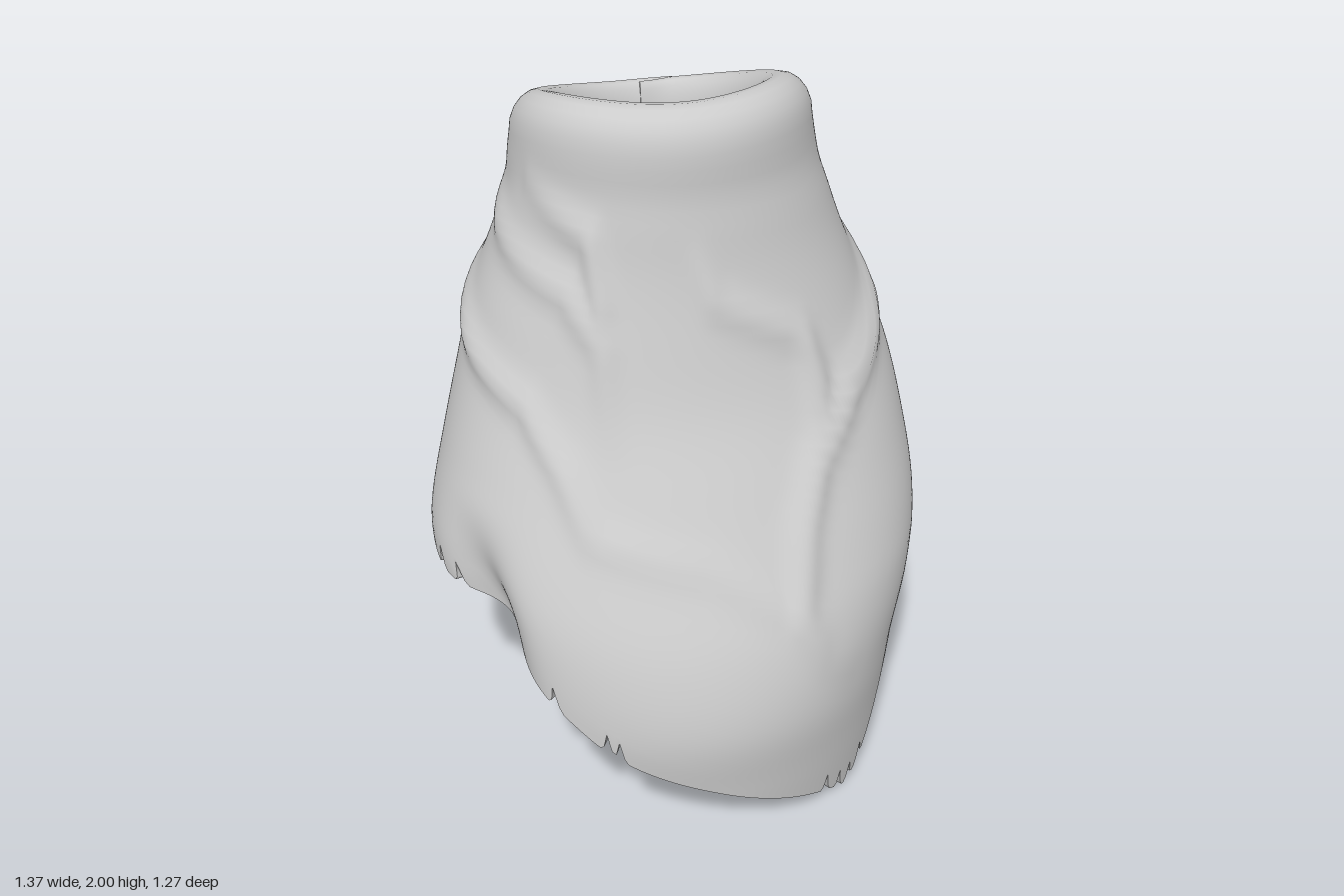
import * as THREE from 'three';

const smooth = (a, b, v) => THREE.MathUtils.smoothstep(v, a, b);
const lerp = THREE.MathUtils.lerp;
const bell = (v, w) => Math.exp(-((v / w) ** 2));

// Smooth interpolation through [key, value] pairs
function curve(pts) {
  const n = pts.length;
  const slope = i => {
    const a = pts[Math.max(0, i - 1)], b = pts[Math.min(n - 1, i + 1)];
    return (b[1] - a[1]) / (b[0] - a[0]);
  };
  return v => {
    if (v <= pts[0][0]) return pts[0][1];
    if (v >= pts[n - 1][0]) return pts[n - 1][1];
    let i = 0;
    while (v > pts[i + 1][0]) i++;
    const h = pts[i + 1][0] - pts[i][0], t = (v - pts[i][0]) / h;
    const t2 = t * t, t3 = t2 * t;
    return (2 * t3 - 3 * t2 + 1) * pts[i][1] + (t3 - 2 * t2 + t) * h * slope(i)
      + (3 * t2 - 2 * t3) * pts[i + 1][1] + (t3 - t2) * h * slope(i + 1);
  };
}

// Extents of the cloth by height
const leftX = curve([[0, .6], [.4, .63], [.6, .67], [.8, .685], [1, .66], [1.2, .615], [1.4, .54], [1.6, .465], [1.8, .41], [1.9, .39], [2, .36]]);
const rightX = curve([[0, .6], [.4, .64], [.7, .685], [.8, .685], [1, .635], [1.2, .58], [1.4, .525], [1.6, .445], [1.8, .405], [1.9, .39], [2, .36]]);
const frontZ = curve([[0, .58], [.2, .61], [.4, .63], [.6, .585], [.8, .49], [1, .39], [1.2, .295], [1.4, .235], [1.6, .19], [1.8, .17], [1.9, .165], [2, .14]]);
const backZ = curve([[0, -.5], [.7, -.55], [1, -.58], [1.2, -.6], [1.4, -.605], [1.6, -.585], [1.7, -.56], [1.8, -.52], [2, -.42]]);
const midZ = curve([[.7, 0], [1, -.08], [1.4, -.16], [1.8, -.2]]);

// Hem height by angle in degrees: 0 is the front, 90 the left side
const hem = curve([[-195, 1.52], [-180, 1.36], [-165, 1.19], [-150, 1.02], [-130, .87], [-105, .76], [-90, .72], [-78, .68],
  [-66, .64], [-40, .45], [-25, .33], [0, .2], [20, .1], [36, .03], [44, 0], [52, .07], [63, .27], [75, .5], [90, .72],
  [105, .86], [125, 1.02], [145, 1.12], [165, 1.25], [180, 1.36]]);
const tears = [-145, -138, -81, -74, -41, -28, -25, 34, 40, 45, 50, 70, 76, 99, 104, 127, 133];

// Raised fold lines as paths of [angle, height, bump]
const folds = [
  [[-66, 1.76, .005], [-35, 1.67, .02], [-28, 1.5, .018], [-25, 1.3, 0]],
  [[-115, 1.7, 0], [-85, 1.62, .018], [-40, 1.52, .02], [-26, 1.4, .018], [-22, 1.1, 0]],
  [[-130, 1.5, 0], [-110, 1.42, .015], [-80, 1.32, .025], [-48, 1.22, .02], [-35, 1.08, .02], [-27, .93, .014], [0, .85, .008], [20, .7, .012]],
  [[0, 1.67, 0], [7, 1.5, .015], [33, 1.37, .02], [34, 1.25, .02], [31, 1.02, .005]],
  [[118, 1.62, 0], [100, 1.48, .014], [80, 1.35, .025], [46, 1.2, .025], [29, 1.05, .025], [23, .9, .024], [20, .7, .022], [27, .57, .008], [40, .47, 0]],
];
const AS = .0095; // degrees to distance along the cloth

function foldBump(deg, y) {
  let best = 0;
  for (const path of folds) {
    for (let i = 0; i + 1 < path.length; i++) {
      const [a, b] = [path[i], path[i + 1]];
      const dx = (b[0] - a[0]) * AS, dy = b[1] - a[1];
      const px = (deg - a[0]) * AS, py = y - a[1];
      const raw = (px * dx + py * dy) / (dx * dx + dy * dy);
      const t = Math.min(1, Math.max(0, raw));
      best = Math.max(best, lerp(a[2], b[2], t) * bell(Math.hypot(px - t * dx, py - t * dy), .042));
    }
  }
  return best;
}

function section(deg, y) {
  const r = deg * Math.PI / 180, s = Math.sin(r), c = Math.cos(r), m = midZ(y);
  return [s * (s > 0 ? leftX(y) : rightX(y)), m + c * (c > 0 ? frontZ(y) - m : m - backZ(y))];
}

// The collar is highest in front and dips toward the back
const collarTop = deg => {
  const z = -.22 + .31 * Math.cos(deg * Math.PI / 180);
  return 2 - .42 * Math.max(0, .07 - z) ** 1.7;
};
const ROLL = .11;

// Point on the outer or inner side of the cloth
function cloth(deg, y, inside) {
  const r = deg * Math.PI / 180, s = Math.sin(r), c = Math.cos(r);
  let [x, z] = section(deg, y);
  const top = collarTop(deg);
  let out = inside ? -.025 : foldBump(deg, y);
  out -= .006 * bell(y - (top - .23), .06);
  out -= .1 * bell(deg + 62, 11) * smooth(.65, 1, 1.6 - y);
  out += .008 * smooth(165, 185, -deg) - .03 * smooth(160, 178, deg);
  x += s * out;
  z += c * out;
  if (inside) {
    const k = smooth(top - .4, top - ROLL, y);
    x = lerp(x, s * .235, k);
    z = lerp(z, -.2 + c * (c > 0 ? .2 : .285), k);
  }
  return [x, y, z];
}

// Rows for one angle, from the inner hem over the collar to the outer hem
function column(deg) {
  const top = collarTop(deg), base = hem(deg) + .08;
  const tear = Math.max(...tears.map(t => Math.max(0, 1 - Math.abs(deg - t) / 1.3)));
  const low = hem(deg) + .065 * tear;
  const ys = [];
  for (let i = 0; i <= 44; i++) ys.push(lerp(top - ROLL, base, i / 44));
  for (let i = 1; i <= 3; i++) ys.push(lerp(base, low, i / 3));
  const outer = ys.map(y => cloth(deg, y, false));
  const inner = ys.map(y => cloth(deg, y, true));
  const roll = [];
  for (let i = 1; i < 10; i++) {
    const a = Math.PI * i / 10, k = (1 + Math.cos(a)) / 2;
    const p = inner[0], q = outer[0];
    roll.push([lerp(q[0], p[0], k), top - ROLL * (1 - Math.sin(a)), lerp(q[2], p[2], k)]);
  }
  return [...inner.reverse(), ...roll, ...outer];
}

// Surface through equal-length rows of points
function loft(rows) {
  const n = rows[0].length, index = [];
  for (let i = 0; i + 1 < rows.length; i++) {
    for (let j = 0; j + 1 < n; j++) {
      const a = i * n + j, b = a + n;
      index.push(a, a + 1, b, b, a + 1, b + 1);
    }
  }
  const g = new THREE.BufferGeometry();
  g.setAttribute('position', new THREE.Float32BufferAttribute(rows.flat(2), 3));
  g.setIndex(index);
  g.computeVertexNormals();
  return g;
}

export function createModel() {
  const group = new THREE.Group();
  const grey = new THREE.MeshStandardMaterial({ color: 0xcccccc, side: THREE.DoubleSide });
  grey.name = 'light grey';
  const add = (parent, name, geometry) => {
    const mesh = new THREE.Mesh(geometry, grey);
    mesh.name = name;
    parent.add(mesh);
    return mesh;
  };

  // Wrapped cloth with rolled collar; one end overlaps the other at the back
  const cols = [];
  for (let d = -195; d <= 180; d += 1) cols.push(column(d));
  add(group, 'cape', loft(cols.map(c => c.slice().reverse())));

  // Thickness along the hem and the two ends
  add(group, 'hemEdge', loft(cols.map(c => [c[0], c[c.length - 1]])));
  for (const c of [cols[0], cols[cols.length - 1]]) {
    const half = Math.floor(c.length / 2);
    add(group, 'flapEdge', loft(c.slice(0, half).map((p, i) => [p, c[c.length - 1 - i]])));
  }

  // Flower clasp at the back of the neck
  const flower = new THREE.Group();
  flower.name = 'flowerClasp';
  const petal = new THREE.Shape();
  petal.moveTo(-.012, 0);
  petal.quadraticCurveTo(-.045, .06, -.03, .085);
  petal.lineTo(0, .1);
  petal.lineTo(.026, .08);
  petal.quadraticCurveTo(.036, .06, .012, 0);
  for (let i = 0; i < 6; i++) {
    const g = new THREE.ExtrudeGeometry(petal, { depth: .008, bevelEnabled: false, curveSegments: 5 });
    g.rotateY(.25);
    g.rotateX(.25);
    g.rotateZ(i * Math.PI / 3);
    add(flower, 'petal', g);
  }
  const heart = new THREE.SphereGeometry(.016, 12, 8);
  heart.scale(1, 1, .6);
  add(flower, 'flowerCentre', heart).position.z = .008;
  flower.rotation.set(.12, Math.PI, 0);
  flower.position.set(0, 1.635, -.594);
  group.add(flower);
  return group;
}
